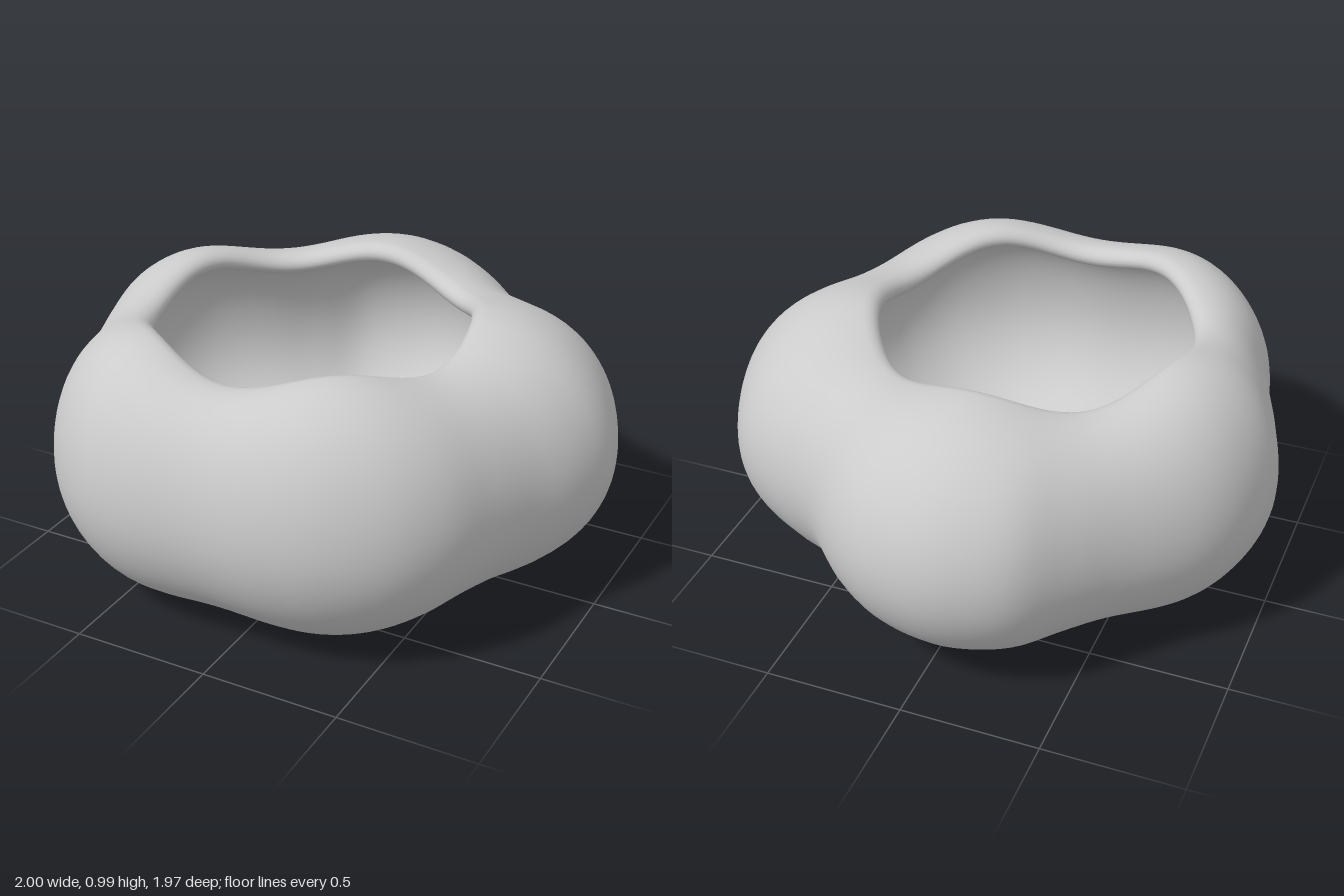
import * as THREE from 'three';

// Five-lobed hollow bowl: a closed shell swept around the mouth's centre.
const CX = -0.07, CZ = 0.1;      // centre of the round mouth
const MOUTH = 0.555, CREST = 0.61, FOOT = 0.45, MID = 0.51, WALL = 0.08;

// widest outline in plan, as x, z pairs running back -> left -> front -> right
const OUTLINE = [
  [-0.05, -0.99], [0.15, -0.95], [0.3, -0.86], [0.49, -0.68], [0.65, -0.61], [0.82, -0.5],
  [0.94, -0.3], [1.0, -0.07], [0.96, 0.1], [0.87, 0.28], [0.8, 0.45], [0.72, 0.65],
  [0.6, 0.8], [0.4, 0.92], [0.2, 0.97], [-0.05, 0.98], [-0.33, 0.98], [-0.5, 0.94],
  [-0.68, 0.82], [-0.8, 0.65], [-0.86, 0.43], [-0.95, 0.18], [-1.0, -0.02], [-0.96, -0.22],
  [-0.87, -0.38], [-0.62, -0.62], [-0.5, -0.75], [-0.36, -0.9], [-0.2, -0.97],
];

// cross-section [radius, height] from under the base, over the lip, to the inner floor
function section(R, lobe) {
  const top = 0.957 + 0.033 * lobe;
  const bottom = 0.025 - 0.022 * lobe;
  const pts = [];
  const wall = (t, inset) => {
    const c = Math.cos(t), s = Math.sin(t);
    const pole = s > 0 ? CREST : FOOT;
    const h = s > 0 ? top - inset - MID : MID - bottom - inset;
    pts.push([pole + (R - inset - pole) * c, MID + h * s]);
  };
  // base
  for (let i = 0; i < 6; i++) {
    const k = i / 6;
    pts.push([FOOT * k, THREE.MathUtils.lerp(0.008, bottom, k * k * (3 - 2 * k))]);
  }
  // outer wall
  for (let i = 0; i <= 36; i++) wall(-Math.PI / 2 + (Math.PI * i) / 36, 0);
  // rolled lip
  for (let i = 1; i < 10; i++) {
    const a = (Math.PI * i) / 10;
    pts.push([CREST - (CREST - MOUTH) * Math.sin(a), top - WALL / 2 + (WALL / 2) * Math.cos(a)]);
  }
  // inner wall
  for (let i = 0; i <= 30; i++) wall(Math.PI / 2 - (Math.PI * i) / 30, WALL);
  // inner floor
  for (let i = 5; i >= 0; i--) {
    const k = i / 6;
    pts.push([FOOT * k, THREE.MathUtils.lerp(0.008, bottom, k * k * (3 - 2 * k)) + WALL]);
  }
  return pts;
}

export function createModel() {
  const curve = new THREE.CatmullRomCurve3(
    OUTLINE.map(([x, z]) => new THREE.Vector3(x, 0, z)), true);
  const COLS = 140;
  const rim = curve.getSpacedPoints(COLS).slice(0, COLS);

  const pos = [], idx = [];
  let rows = 0;
  for (const p of rim) {
    const dx = p.x - CX, dz = p.z - CZ;
    const a = Math.atan2(dz, dx);
    const pts = section(Math.hypot(dx, dz), Math.cos(5 * (a + Math.PI / 2)));
    rows = pts.length;
    for (const [r, y] of pts) pos.push(CX + r * Math.cos(a), y, CZ + r * Math.sin(a));
  }
  for (let i = 0; i < COLS; i++) {
    const n = (i + 1) % COLS;
    for (let j = 0; j < rows - 1; j++) {
      const a = i * rows + j, b = n * rows + j;
      idx.push(a, a + 1, b, b, a + 1, b + 1);
    }
  }
  const geo = new THREE.BufferGeometry();
  geo.setAttribute('position', new THREE.Float32BufferAttribute(pos, 3));
  geo.setIndex(idx);
  geo.computeVertexNormals();

  const bowl = new THREE.Mesh(geo, new THREE.MeshStandardMaterial({ color: 0xcccccc }));
  bowl.name = 'lobedBowl';
  const group = new THREE.Group();
  group.name = 'bowl';
  group.add(bowl);
  return group;
}
